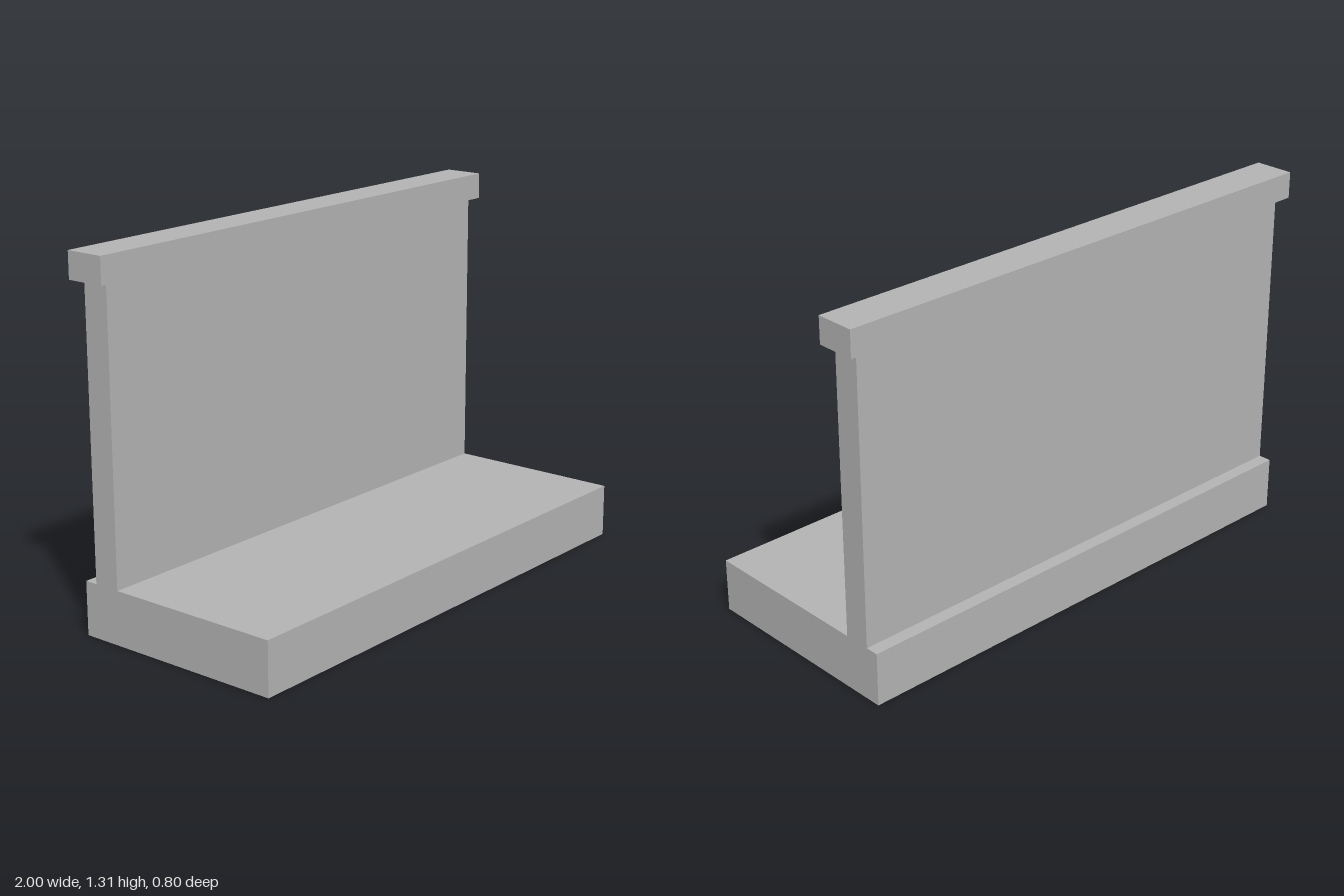
import * as THREE from 'three';

export function createModel() {
  const group = new THREE.Group();
  const concrete = new THREE.MeshStandardMaterial({ color: 0xb2b2b2 });
  concrete.name = 'concrete grey';

  const length = 1.92, baseTop = 0.193, wallTop = 1.219, capTop = 1.314;
  const wallFront = -0.254, wallBack = -0.352;

  // Footing and upright wall: one inverted-T section, drawn as (-z, y) and run along x
  const section = new THREE.Shape([
    [-0.4, 0], [0.4, 0], [0.4, baseTop], [-wallBack, baseTop],
    [-wallBack, wallTop], [-wallFront, wallTop], [-wallFront, baseTop], [-0.4, baseTop],
  ].map(([x, y]) => new THREE.Vector2(x, y)));
  const wallGeometry = new THREE.ExtrudeGeometry(section, { depth: length, bevelEnabled: false });
  wallGeometry.translate(0, 0, -length / 2).rotateY(Math.PI / 2);
  const wall = new THREE.Mesh(wallGeometry, concrete);
  wall.name = 'footingAndWall';
  group.add(wall);

  // Coping beam overhanging the wall on every side
  const coping = new THREE.Mesh(new THREE.BoxGeometry(2, capTop - wallTop, 0.145), concrete);
  coping.name = 'coping';
  coping.position.set(0, (wallTop + capTop) / 2, -0.306);
  group.add(coping);

  return group;
}
